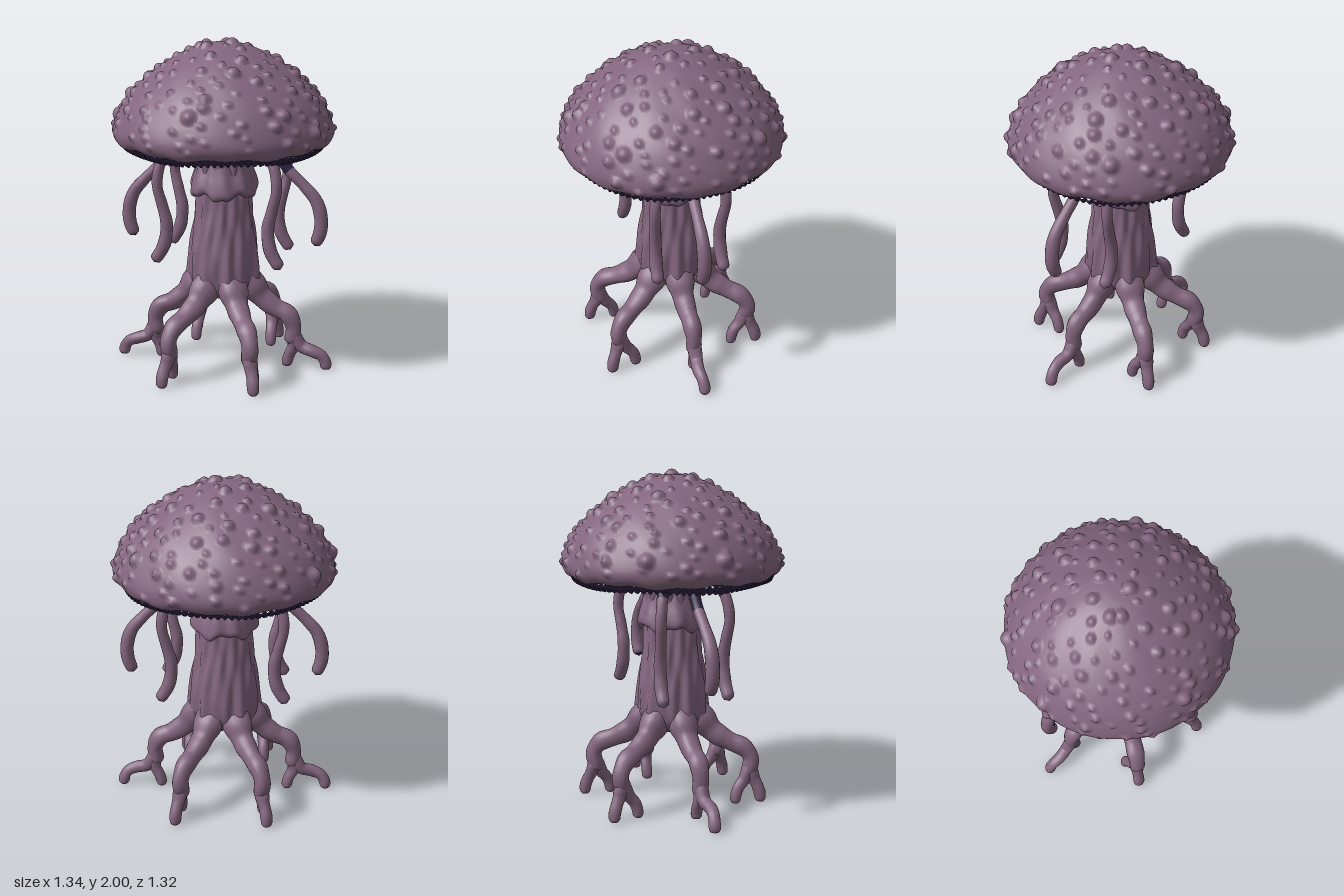
import * as THREE from 'three';
import { mergeVertices } from 'three/addons/utils/BufferGeometryUtils.js';

const skin = new THREE.MeshStandardMaterial({ color: 0x84667f });
skin.name = 'mauve skin';
const dark = new THREE.MeshStandardMaterial({ color: 0x2e2344 });
dark.name = 'dark purple gills';

const { smoothstep, lerp } = THREE.MathUtils;
let seed = 7;
const rand = () => (seed = (seed * 16807) % 2147483647) / 2147483647;

// Weld seams and rebuild smooth normals
function smooth(geo) {
  geo.deleteAttribute('uv');
  geo.deleteAttribute('normal');
  const out = mergeVertices(geo);
  out.computeVertexNormals();
  return out;
}

// Move every vertex by a rule
function reshape(geo, rule) {
  const p = geo.attributes.position, v = new THREE.Vector3();
  for (let i = 0; i < p.count; i++) {
    v.fromBufferAttribute(p, i);
    rule(v, i);
    p.setXYZ(i, v.x, v.y, v.z);
  }
  return geo;
}

// Lathe through a smooth profile listed as [radius, height]
function lathe(profile, rows, sides) {
  const curve = new THREE.SplineCurve(profile.map(p => new THREE.Vector2(...p)));
  const pts = curve.getSpacedPoints(rows);
  pts.forEach(p => { p.x = Math.max(0, p.x); });
  return new THREE.LatheGeometry(pts, sides);
}

// Tapered, rounded, slightly knobbly tube; points are [x, y, z], radii spread evenly
function limb(points, radii, rows, sides, knob) {
  const curve = new THREE.CatmullRomCurve3(points.map(p => new THREE.Vector3(...p)));
  const geo = new THREE.TubeGeometry(curve, rows, 1, sides);
  const len = curve.getLength(), last = radii.length - 1;
  const tip = radii[last] / len;
  return smooth(reshape(geo, (v, i) => {
    const t = Math.floor(i / (sides + 1)) / rows;
    const k = Math.min(Math.floor(t * last), last - 1);
    let r = lerp(radii[k], radii[k + 1], t * last - k);
    const a = (i % (sides + 1)) / sides * Math.PI * 2;
    r *= 1 + knob * (Math.sin(t * len * 45) * 0.6 + Math.sin(a * 3 + t * 5) * 0.6);
    const e = Math.max(0, (t - 1 + tip) / tip);
    r *= Math.sqrt(Math.max(0, 1 - e * e));
    const c = curve.getPointAt(t);
    v.sub(c).multiplyScalar(r).add(c);
    v.y = Math.max(0, v.y);
  }));
}

function add(parent, name, geo, material) {
  const mesh = new THREE.Mesh(geo, material);
  mesh.name = name;
  parent.add(mesh);
}

// Domed cap covered with blended warts
function capGeometry() {
  const geo = lathe([[0.57, 1.385], [0.61, 1.395], [0.638, 1.425], [0.645, 1.48], [0.613, 1.57],
    [0.55, 1.67], [0.45, 1.77], [0.32, 1.865], [0.17, 1.94], [0.07, 1.965], [0, 1.968]], 84, 250);
  const p = geo.attributes.position, q = new THREE.Vector3();
  const warts = [];
  const n = 190;
  for (let i = 0; i < n; i++) {
    const a = i * 2.39996 + (rand() - 0.5) * 0.2;
    const up = Math.min(0.995, (i + 0.5) / n + (rand() - 0.5) * 0.03);
    const ring = Math.sqrt(1 - up * up) * 0.64;
    const aim = new THREE.Vector3(Math.sin(a) * ring, 1.43 + 0.53 * up, Math.cos(a) * ring);
    // Seat each wart on the nearest point of the dome
    const c = new THREE.Vector3();
    let best = 9;
    for (let j = 0; j < p.count; j++) {
      const d = q.fromBufferAttribute(p, j).distanceToSquared(aim);
      if (d < best) { best = d; c.copy(q); }
    }
    warts.push({ c, r: 0.02 + 0.028 * rand() * rand() });
  }
  const centre = new THREE.Vector3(0, 1.3, 0), dir = new THREE.Vector3();
  reshape(geo, v => {
    let lift = 0;
    for (const w of warts) {
      const t = v.distanceToSquared(w.c) / (w.r * w.r);
      if (t < 1) lift = Math.max(lift, w.r * 0.7 * Math.pow(1 - t, 0.8));
    }
    const a = Math.atan2(v.x, v.z);
    const rim = smoothstep(1.5 - v.y, 0, 0.1);
    const ripple = 0.003 * smoothstep(Math.hypot(v.x, v.z), 0.1, 0.4) * Math.sin(a * 9 + v.y * 17);
    dir.copy(v).sub(centre).normalize();
    v.addScaledVector(dir, lift + ripple);
    v.y += rim * 0.005 * (Math.sin(a * 7) + Math.sin(a * 16 + 1));
  });
  return smooth(geo);
}

// Hollow underside with radial gill ridges
function gillGeometry() {
  const geo = lathe([[0.12, 1.47], [0.28, 1.455], [0.4, 1.42], [0.5, 1.375], [0.55, 1.353],
    [0.585, 1.362], [0.605, 1.4]], 14, 576);
  reshape(geo, v => {
    const r = Math.hypot(v.x, v.z), a = Math.atan2(v.x, v.z);
    v.y += 0.008 * Math.sin(a * 96) * smoothstep(r, 0.35, 0.5) + 0.005 * Math.sin(a * 5);
  });
  return smooth(geo);
}

// Grooved trunk that swells toward the six roots
function stemGeometry() {
  const geo = lathe([[0, 0.46], [0.09, 0.45], [0.165, 0.46], [0.205, 0.52], [0.21, 0.62],
    [0.203, 0.72], [0.185, 0.85], [0.167, 1], [0.16, 1.15], [0.165, 1.26], [0.185, 1.35],
    [0.21, 1.41], [0.235, 1.47]], 60, 120);
  reshape(geo, v => {
    const a = Math.atan2(v.x, v.z);
    const root = smoothstep(0.75 - v.y, 0, 0.3);
    const s = 1 + 0.035 * Math.sin(a * 11 + 1.8 * Math.sin(v.y * 7))
      + 0.025 * Math.sin(a * 17 - 2.5 * Math.sin(v.y * 6 + 1))
      - root * 0.08 * Math.cos(a * 6);
    v.x *= s;
    v.z *= s;
  });
  return smooth(geo);
}

// Ragged collar around the upper stem
function collarGeometry() {
  const geo = lathe([[0.15, 1.085], [0.18, 1.075], [0.2, 1.1], [0.19, 1.16], [0.172, 1.22],
    [0.155, 1.29]], 22, 110);
  reshape(geo, v => {
    const a = Math.atan2(v.x, v.z);
    const low = smoothstep(1.27 - v.y, 0, 0.17);
    const s = 1 + 0.03 * Math.sin(a * 7 + 1) + 0.02 * Math.sin(a * 12 + v.y * 9);
    v.x *= s;
    v.z *= s;
    v.y += low * (0.016 * Math.cos(a * 5 + 2.6) + 0.008 * Math.sin(a * 11));
  });
  return smooth(geo);
}

// Forked root leg, mirrored by the signs sx and sz
function addLeg(model, shaft, outerToe, innerToe, sx, sz) {
  const flip = points => points.map(([x, y, z]) => [x * sx, y, z * sz]);
  const leg = new THREE.Group();
  leg.name = 'rootLeg';
  add(leg, 'shaft', limb(flip(shaft), [0.11, 0.096, 0.072, 0.058, 0.055, 0.048, 0.044], 50, 20, 0.07), skin);
  add(leg, 'outerToe', limb(flip(outerToe), [0.04, 0.042, 0.036, 0.035, 0.033], 30, 16, 0.06), skin);
  add(leg, 'innerToe', limb(flip(innerToe), [0.04, 0.038, 0.033, 0.032], 26, 16, 0.06), skin);
  model.add(leg);
}

// Tentacle with a dark root; its last darkRows rows are dark as well
function addTentacle(model, points, radii, cut, darkRows) {
  const rows = 48, sides = 16, row = sides * 6;
  const geo = limb(points, radii, rows, sides, 0.03);
  const split = Math.round(rows * cut);
  geo.addGroup(0, split * row, 0);
  geo.addGroup(split * row, (rows - split - darkRows) * row, 1);
  geo.addGroup((rows - darkRows) * row, darkRows * row, 0);
  add(model, 'tentacle', geo, [dark, skin]);
}

export function createModel() {
  const model = new THREE.Group();
  model.name = 'mushroom creature';
  add(model, 'cap', capGeometry(), skin);
  add(model, 'gills', gillGeometry(), dark);
  add(model, 'stem', stemGeometry(), skin);
  add(model, 'collar', collarGeometry(), skin);

  // Corner legs run out at 60 degrees, their toes fork front to back
  const cornerShaft = [[0.06, 0.6], [0.16, 0.52], [0.26, 0.425], [0.36, 0.37], [0.44, 0.335],
    [0.485, 0.265], [0.47, 0.18], [0.465, 0.14]].map(([r, y]) => [r * 0.5, y, r * 0.866]);

  for (const s of [1, -1]) {
    addLeg(model,
      [[0.06, 0.6, 0], [0.16, 0.52, 0], [0.24, 0.43, 0], [0.32, 0.37, 0], [0.395, 0.335, 0],
        [0.432, 0.26, 0], [0.425, 0.17, 0], [0.42, 0.14, 0]],
      [[0.43, 0.22, 0], [0.48, 0.135, 0], [0.55, 0.11, 0.01], [0.605, 0.085, 0.005],
        [0.632, 0.04, 0], [0.635, -0.01, 0]],
      [[0.43, 0.21, 0], [0.435, 0.13, -0.005], [0.41, 0.075, -0.01], [0.397, 0.03, -0.01],
        [0.395, -0.01, -0.01]], s, 1);
    addTentacle(model, [[0.22, 1.46, 0], [0.3, 1.36, 0], [0.38, 1.24, 0], [0.48, 1.14, 0],
      [0.555, 1.05, 0], [0.585, 0.95, 0], [0.582, 0.86, 0], [0.55, 0.775, 0]]
      .map(([x, y, z]) => [x * s, y, z]), [0.036, 0.034, 0.032, 0.033, 0.039, 0.041, 0.036], 0.36, 1);
    for (const f of [1, -1]) {
      addLeg(model, cornerShaft,
        [[0.238, 0.22, 0.41], [0.248, 0.15, 0.43], [0.262, 0.1, 0.452], [0.27, 0.05, 0.468],
          [0.272, -0.01, 0.472]],
        [[0.238, 0.21, 0.405], [0.24, 0.14, 0.375], [0.243, 0.09, 0.335], [0.245, 0.04, 0.318],
          [0.245, -0.01, 0.315]], s, f);
      addTentacle(model, [[0.2, 1.46, 0.13], [0.27, 1.38, 0.16], [0.33, 1.29, 0.195],
        [0.352, 1.16, 0.213], [0.325, 1.03, 0.203], [0.302, 0.92, 0.198], [0.318, 0.79, 0.2],
        [0.38, 0.68, 0.205]].map(([x, y, z]) => [x * s, y, z * f]),
        [0.036, 0.034, 0.032, 0.031, 0.036, 0.039, 0.036], 0.25, 0);
    }
  }
  return model;
}
